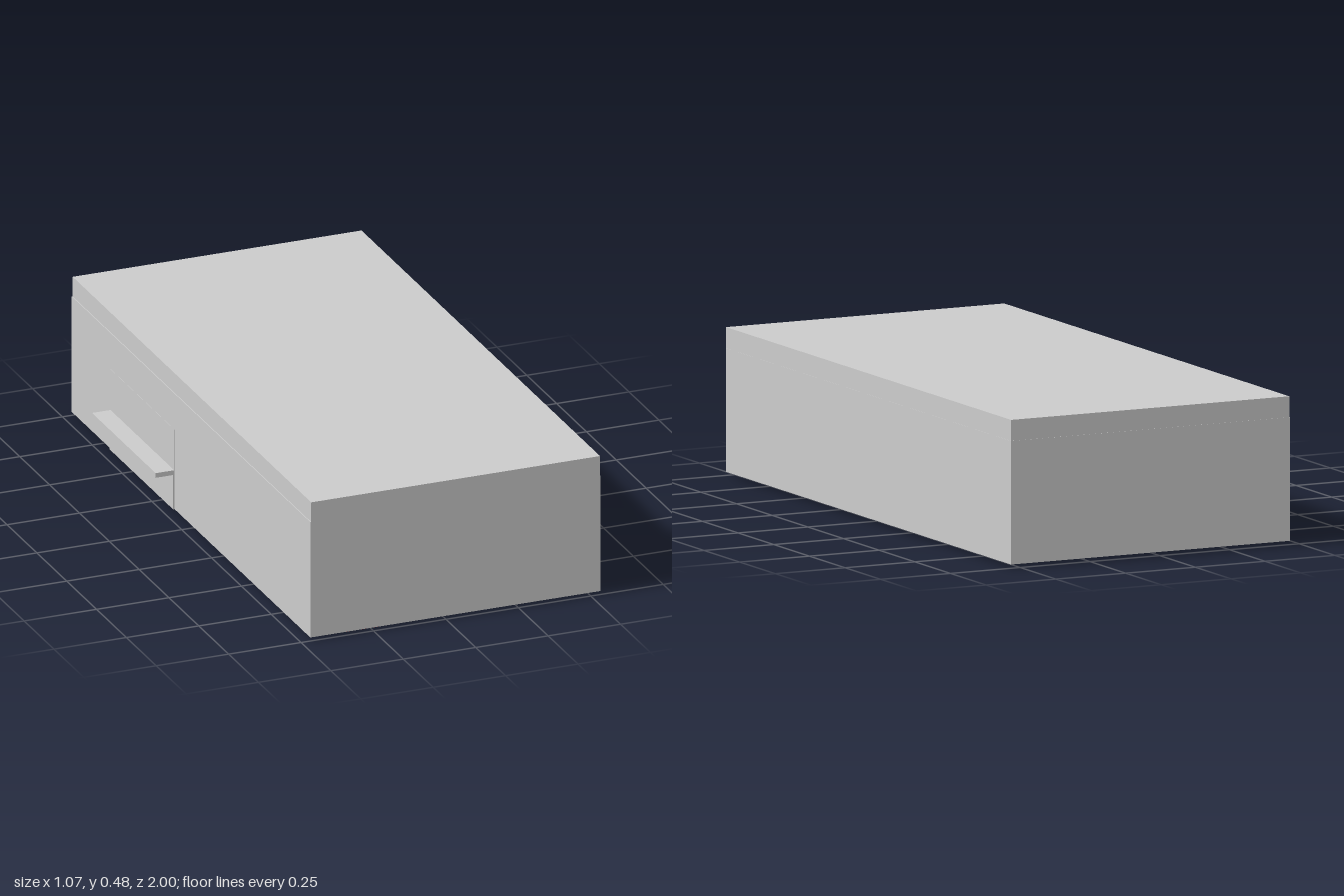
import * as THREE from 'three';

export function createModel() {
  const model = new THREE.Group();
  const grey = new THREE.MeshStandardMaterial({ color: 0xcccccc, flatShading: true });
  const red = new THREE.MeshStandardMaterial({ color: 0xaa1111, flatShading: true });

  // Box given by its lower and upper corner
  const block = (name, [x0, y0, z0], [x1, y1, z1], material = grey) => {
    const mesh = new THREE.Mesh(new THREE.BoxGeometry(x1 - x0, y1 - y0, z1 - z0), material);
    mesh.position.set((x0 + x1) / 2, (y0 + y1) / 2, (z0 + z1) / 2);
    mesh.name = name;
    model.add(mesh);
    return mesh;
  };
  // Flat disc hanging under the body
  const disc = (name, x, z, radius, depth, sides) => {
    const mesh = new THREE.Mesh(new THREE.CylinderGeometry(radius, radius, depth, sides), grey);
    mesh.position.set(x, base - depth / 2, z);
    mesh.name = name;
    model.add(mesh);
  };

  const base = 0.012;

  // Case and its slightly inset lid
  block('body', [-0.468, base, -1], [0.533, 0.412, 1]);
  block('lid', [-0.465, 0.412, -0.999], [0.532, 0.48, 1]);

  // Tray on the right side: lower panel, shelf and flush cover above it
  block('trayPanel', [-0.473, base, -0.672], [-0.467, 0.132, -0.138]);
  block('trayShelf', [-0.533, 0.131, -0.672], [-0.467, 0.147, -0.138]);
  block('trayCover', [-0.469, 0.147, -0.672], [-0.467, 0.288, -0.138]);

  // Thin tapered tab under the base
  const tabShape = new THREE.Shape([
    [0.277, base], [0.284, 0], [0.411, 0], [0.419, base],
  ].map(([x, y]) => new THREE.Vector2(x, y)));
  const tab = new THREE.Mesh(
    new THREE.ExtrudeGeometry(tabShape, { depth: 0.01, bevelEnabled: false }), grey);
  tab.position.z = -0.11;
  tab.name = 'bottomTab';
  model.add(tab);

  // Row of vent ribs beside the tab
  for (let i = 0; i < 9; i++) {
    const z = -0.52 + i * 0.046;
    block('ventRib', [0.435, 0.009, z], [0.505, base, z + 0.01]);
  }

  // Red strip along the front of the base
  block('redStrip', [-0.36, 0.0105, 0.975], [-0.21, base, 0.997], red);

  // Shallow feet and screw heads
  disc('foot', 0.185, 0.91, 0.034, 0.003, 20);
  disc('foot', -0.325, -0.275, 0.03, 0.003, 20);
  [[0.18, 0.11], [0.03, -0.18], [-0.02, -0.49], [-0.08, 0.41],
    [0.14, 0.66], [0.21, -0.07], [0.37, 0.79], [0.18, 0.34]]
    .forEach(([x, z]) => disc('screw', x, z, 0.004, 0.002, 10));

  return model;
}
